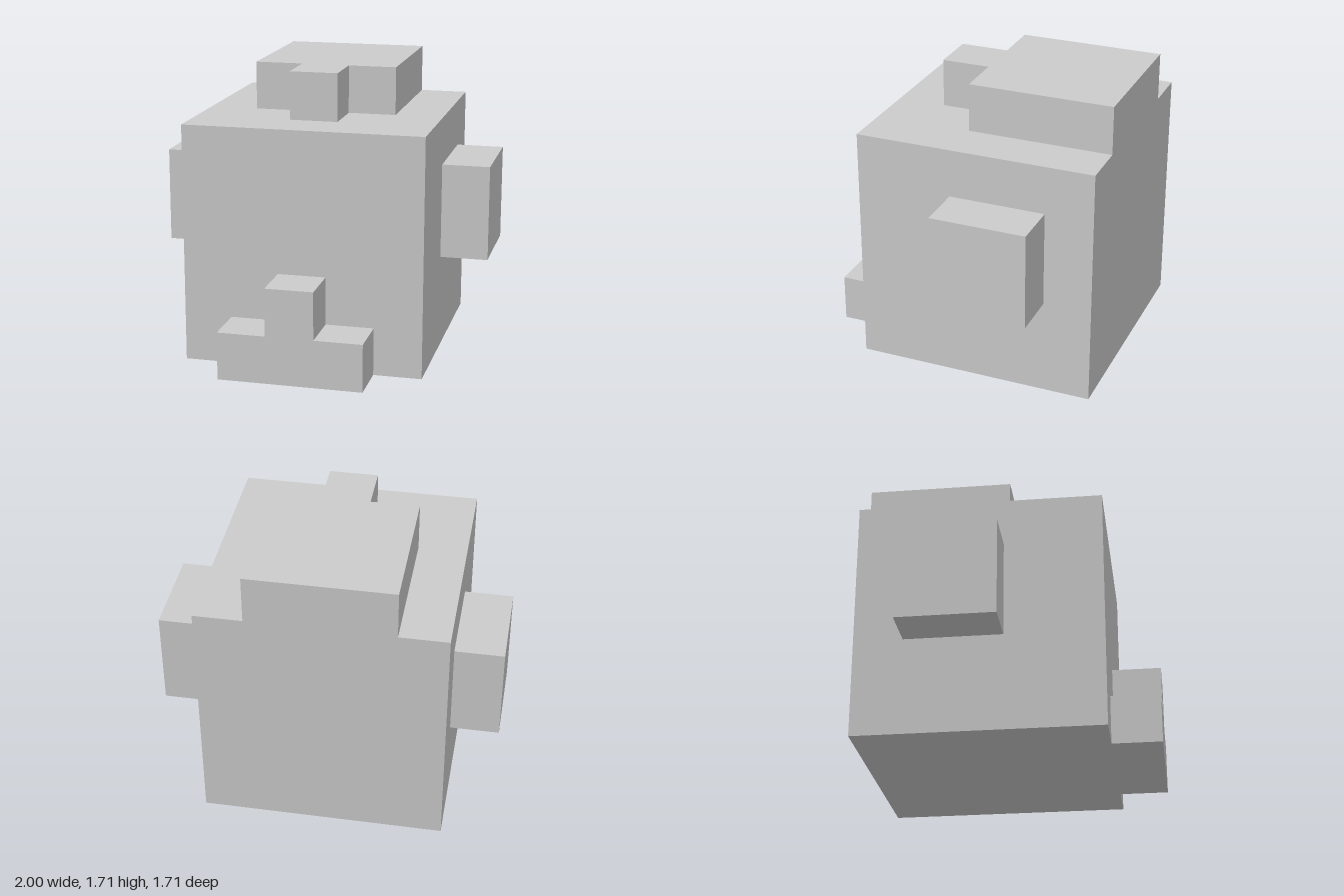
import * as THREE from 'three';

// Everything sits on a block grid, seven blocks wide
const U = 2 / 7;

export function createModel() {
  const model = new THREE.Group();
  const material = new THREE.MeshStandardMaterial({ color: 0xcccccc, flatShading: true });

  const add = (name, geometry) => {
    geometry.scale(U, U, U);
    const mesh = new THREE.Mesh(geometry, material);
    mesh.name = name;
    model.add(mesh);
  };

  // Box given by its corner ranges in blocks
  const block = ([x0, x1], [y0, y1], [z0, z1]) =>
    new THREE.BoxGeometry(x1 - x0, y1 - y0, z1 - z0)
      .translate((x0 + x1) / 2, (y0 + y1) / 2, (z0 + z1) / 2);

  // T-shaped slab, one block thick: a wide bar with a one-block stem
  const tee = (barDepth) => {
    const points = [
      [-1.5, 0], [1.5, 0], [1.5, barDepth], [0.5, barDepth],
      [0.5, barDepth + 1], [-0.5, barDepth + 1], [-0.5, barDepth], [-1.5, barDepth],
    ].map(([x, y]) => new THREE.Vector2(x, y));
    return new THREE.ExtrudeGeometry(new THREE.Shape(points), { depth: 1, bevelEnabled: false });
  };

  // Main cube
  add('head', block([-2.5, 2.5], [0, 5], [-3, 2]));

  // Side blocks
  add('leftEar', block([2.5, 3.5], [2, 4], [-2, 0]));
  add('rightEar', block([-3.5, -2.5], [2, 4], [-2, 0]));

  // Upright T on the lower front
  add('snout', tee(1).translate(0, 0, 2));

  // T lying on top, stem pointing forward
  add('crest', tee(3).rotateX(Math.PI / 2).translate(0, 6, -3));

  return model;
}
